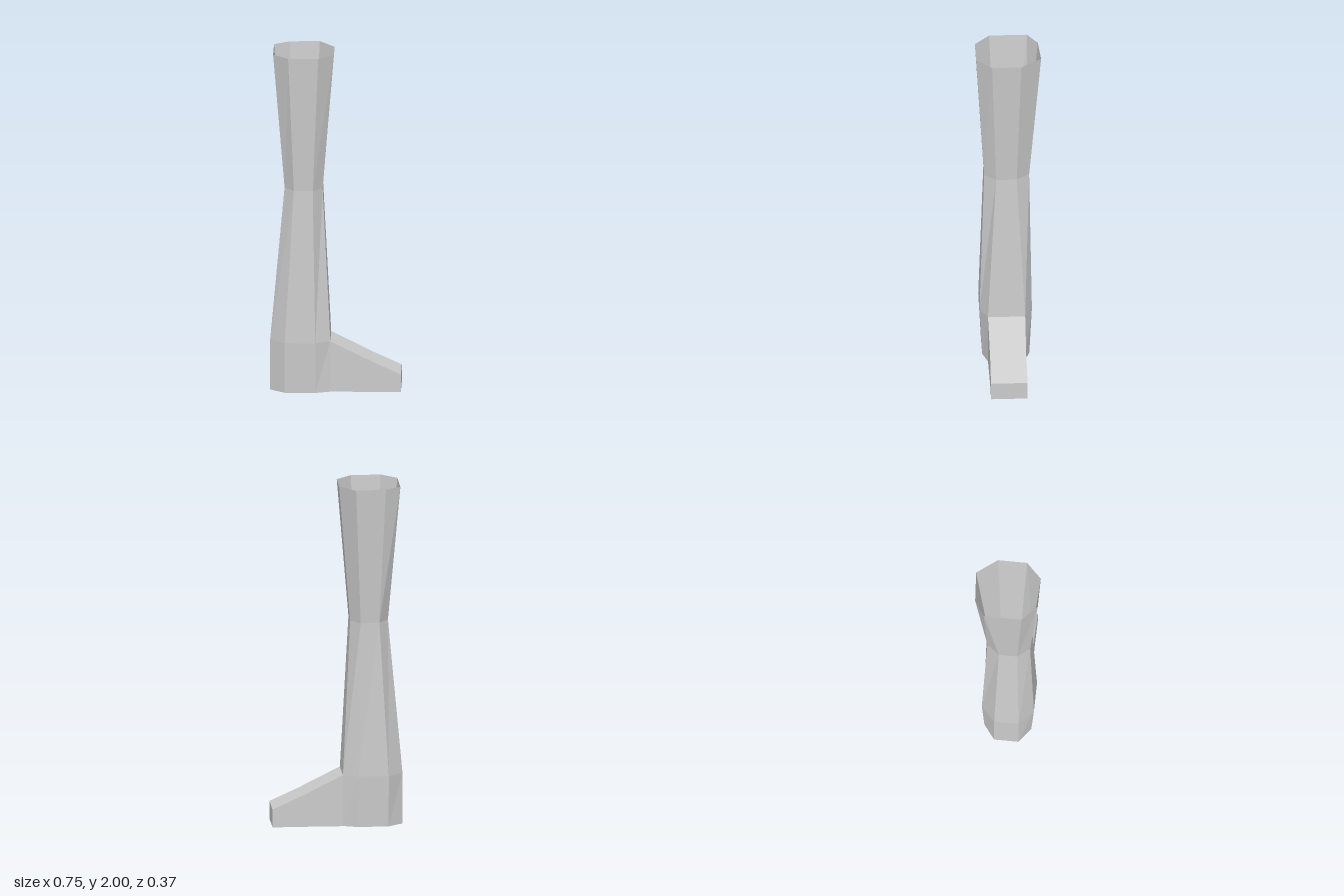
import * as THREE from 'three';

// Flat-shaded, open-ended skin through matching rings of [x, y, z] points.
// skip(level, side) leaves a panel out; startCap / endCap close the ends.
function loft(name, rings, { skip = () => false, startCap = false, endCap = false } = {}) {
  const n = rings[0].length;
  const pos = [];
  const tri = (...pts) => pts.forEach((p) => pos.push(...p));
  for (let k = 0; k < rings.length - 1; k++) {
    for (let i = 0; i < n; i++) {
      if (skip(k, i)) continue;
      const j = (i + 1) % n;
      const lo = rings[k], hi = rings[k + 1];
      tri(lo[j], lo[i], hi[i]);
      tri(lo[j], hi[i], hi[j]);
    }
  }
  const first = rings[0], last = rings[rings.length - 1];
  for (let i = 1; i < n - 1; i++) {
    if (startCap) tri(first[0], first[i], first[i + 1]);
    if (endCap) tri(last[0], last[i + 1], last[i]);
  }
  const geo = new THREE.BufferGeometry();
  geo.setAttribute('position', new THREE.Float32BufferAttribute(pos, 3));
  geo.computeVertexNormals();
  const mesh = new THREE.Mesh(geo, new THREE.MeshStandardMaterial({
    color: 0xcccccc, flatShading: true, side: THREE.DoubleSide,
  }));
  mesh.name = name;
  return mesh;
}

// Eight-sided horizontal ring: four x columns, z for the -z half and the +z half
const legRing = (y, [x0, x1, x2, x3], [a, b, c, d], [e, f, g, h]) => [
  [x0, y, a], [x1, y, b], [x2, y, c], [x3, y, d],
  [x3, y, e], [x2, y, f], [x1, y, g], [x0, y, h],
];

// Rectangular cross-section of the foot
const footRing = (x, top, z0, z1) => [[x, 0, z0], [x, 0, z1], [x, top, z1], [x, top, z0]];

export function createModel() {
  const group = new THREE.Group();
  group.name = 'lowerLeg';

  // Sole, ankle, narrow middle and open top
  const legRings = [
    legRing(0, [-0.375, -0.29, -0.115, -0.03], [-0.055, -0.12, -0.12, -0.09], [0.12, 0.15, 0.15, 0.085]),
    legRing(0.3, [-0.375, -0.29, -0.115, -0.03], [-0.055, -0.135, -0.135, -0.093], [0.12, 0.165, 0.165, 0.085]),
    legRing(1.2, [-0.293, -0.238, -0.13, -0.075], [-0.037, -0.108, -0.12, -0.047], [0.072, 0.138, 0.138, 0.07]),
    legRing(2, [-0.358, -0.27, -0.098, -0.01], [-0.117, -0.175, -0.187, -0.07], [0.097, 0.185, 0.185, 0.1]),
  ];
  // The ankle panel facing the foot is left out, since the foot grows from it
  group.add(loft('leg', legRings, { skip: (k, i) => k === 0 && i === 3, startCap: true }));

  // Foot tapering down to a blunt toe
  const footRings = [
    footRing(-0.03, 0.3, -0.093, 0.12),
    footRing(0.21, 0.18, -0.089, 0.118),
    footRing(0.374, 0.105, -0.09, 0.12),
  ];
  group.add(loft('foot', footRings, { endCap: true }));

  return group;
}
